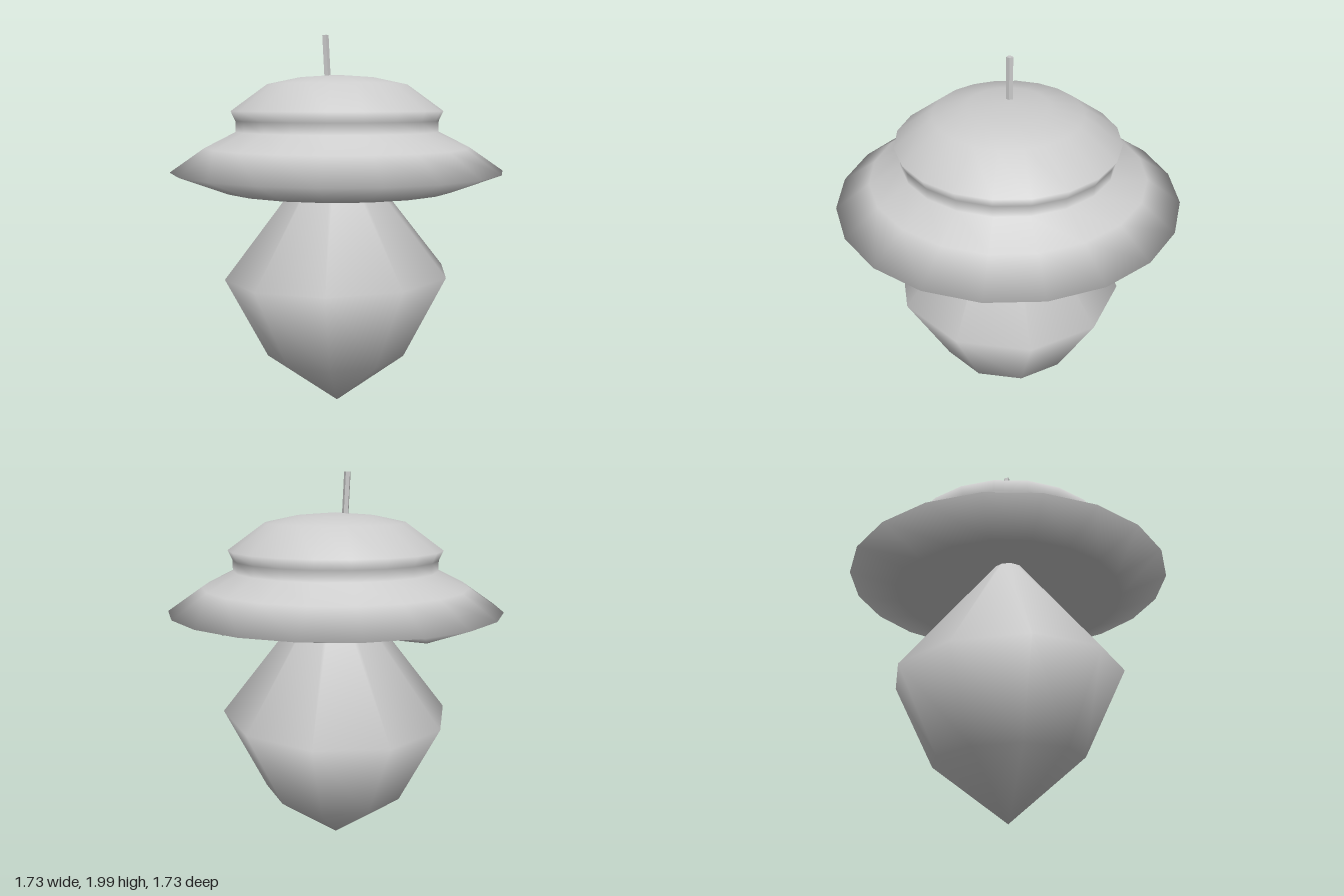
import * as THREE from 'three';
import { mergeVertices } from 'three/addons/utils/BufferGeometryUtils.js';

const grey = new THREE.MeshStandardMaterial({ color: 0xcccccc, side: THREE.DoubleSide });

// Turned part whose vertices are then shifted vertically by a rule; smooth across the seam.
function turned(name, profile, sides, lift) {
  const points = profile.map(([r, y]) => new THREE.Vector2(r, y));
  let geometry = new THREE.LatheGeometry(points, sides);
  geometry.deleteAttribute('uv');
  geometry.deleteAttribute('normal');
  const p = geometry.attributes.position;
  for (let i = 0; i < p.count; i++) {
    const x = p.getX(i), y = p.getY(i), z = p.getZ(i);
    p.setY(i, y + lift(x, y, z));
  }
  geometry = mergeVertices(geometry, 1e-4);
  geometry.computeVertexNormals();
  const mesh = new THREE.Mesh(geometry, grey);
  mesh.name = name;
  return mesh;
}

export function createModel() {
  const model = new THREE.Group();
  model.name = 'acornOrnament';

  // Pointed body, its rings leaning up slightly toward the front left
  model.add(turned('body', [
    [0, 0.01], [0.385, 0.31], [0.605, 0.75], [0.05, 1.455], [0, 1.47],
  ], 10, (x, y, z) => 0.03 * x + 0.033 * z));

  // Wide cap with a hollow underside; the lower lip is raised at the back
  model.add(turned('cap', [
    [0, 1.44], [0.62, 1.215], [0.865, 1.31], [0.69, 1.43], [0.53, 1.51],
    [0.53, 1.565], [0.553, 1.615], [0.365, 1.75], [0.2, 1.785], [0, 1.8],
  ], 20, (x, y, z) => (y < 1.25 && z < -0.4 ? 0.04 : 0)));

  // Thin, slightly tilted stem
  const stem = new THREE.Mesh(
    new THREE.CylinderGeometry(0.0175, 0.0175, 0.27, 5).rotateY(Math.PI / 2).toNonIndexed(),
    new THREE.MeshStandardMaterial({ color: 0xcccccc, flatShading: true }));
  stem.name = 'stem';
  stem.position.set(-0.054, 1.865, 0);
  stem.rotation.z = 0.05;
  model.add(stem);

  return model;
}
